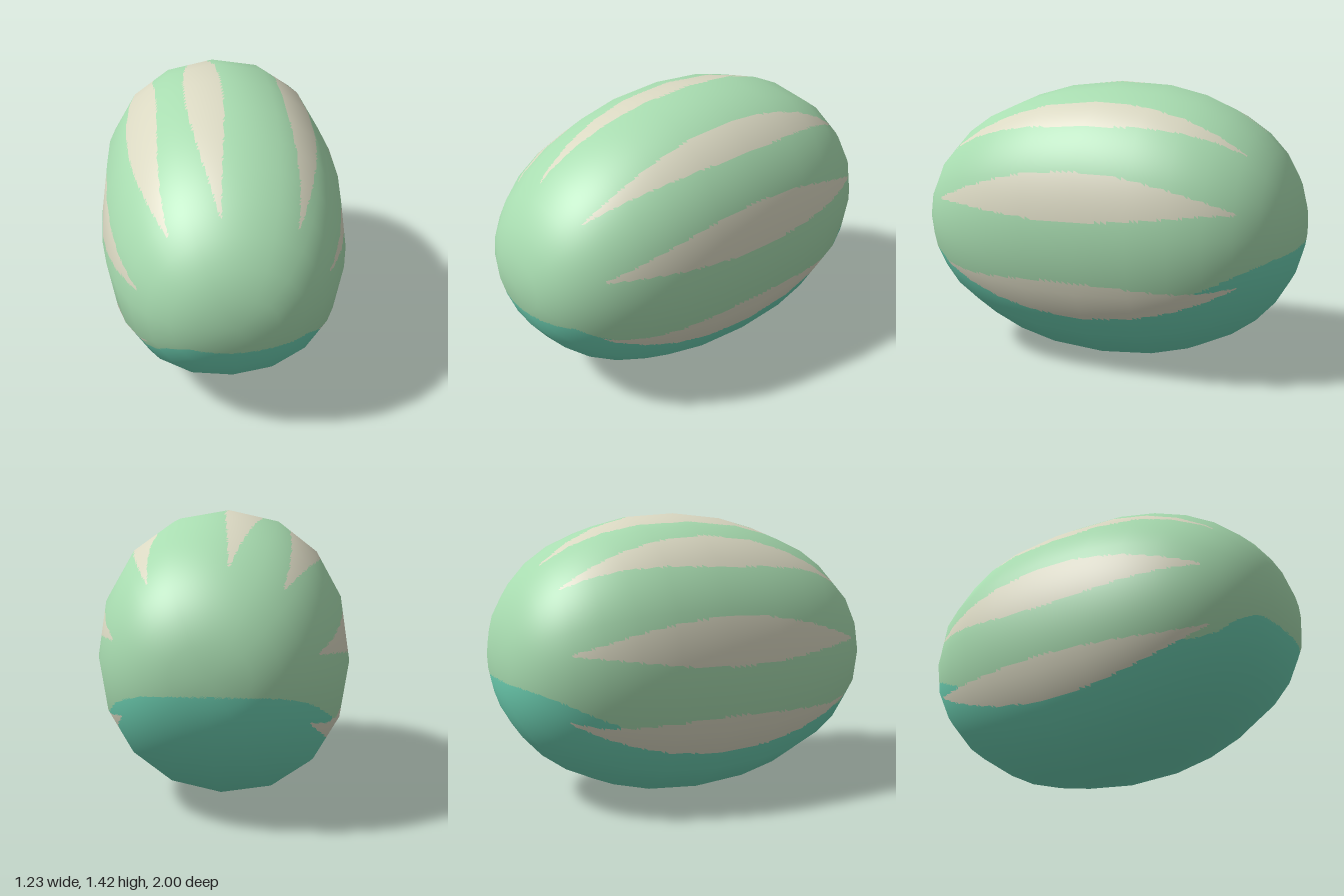
import * as THREE from 'three';

const SIDES = 16, RINGS = 16; // coarse facets that set the outline
const SUB_A = 18, SUB_B = 9; // fine faces per facet, so colour edges stay clean
const RX = 0.615, RY = 0.708, MID = 0.713;

const signedPow = (v, p) => Math.sign(v) * Math.abs(v) ** p;
const superRound = (z, n) => Math.max(0, 1 - Math.abs(z) ** n) ** (1 / n);

// Slightly boxy, slightly skewed egg lying along z
function surfacePoint(a, b) {
  const z = signedPow(Math.sin(b), 0.8);
  const x = RX * superRound(z, 2.6) * signedPow(Math.cos(a), 0.93);
  const y = RY * superRound(z, 2.1) * signedPow(Math.sin(a), 0.93);
  return new THREE.Vector3(x, MID + y + 0.028 * x - 0.015 * z, z - 0.05 * (1 - z * z));
}

function surfaceNormal(a, b, j) {
  if (j === 0 || j === RINGS) return new THREE.Vector3(0, 0, j ? 1 : -1);
  const e = 0.04;
  const da = surfacePoint(a + e, b).sub(surfacePoint(a - e, b));
  const db = surfacePoint(a, b + e).sub(surfacePoint(a, b - e));
  return da.cross(db).normalize();
}

// Lens-shaped stripes: centre angle and half width in degrees
const STRIPES = [[-27, 8.5], [14, 8.5], [52, 7.8], [97.5, 7.8], [129, 9], [169, 8.5], [206, 8.5]];
function onStripe(deg, z) {
  const t = Math.abs(z + 0.005) / 0.785;
  if (t >= 1) return false;
  const taper = 1 - t ** 1.9;
  return STRIPES.some(([centre, half]) => {
    const d = ((deg - centre + 540) % 360) - 180;
    return Math.abs(d) < half * taper + 0.5;
  });
}

// Height of the wavy belly edge along z
const EDGE = [[-1, 0.65], [-0.93, 0.635], [-0.82, 0.59], [-0.68, 0.52], [-0.5, 0.44], [0, 0.35],
  [0.5, 0.42], [0.7, 0.485], [0.8, 0.52], [0.88, 0.57], [0.94, 0.565], [1.01, 0.545]];
function bellyEdge(p) {
  let k = 1;
  while (k < EDGE.length - 1 && p.z > EDGE[k][0]) k++;
  const [z0, y0] = EDGE[k - 1], [z1, y1] = EDGE[k];
  const y = THREE.MathUtils.lerp(y0, y1, (p.z - z0) / (z1 - z0));
  const dip = THREE.MathUtils.smoothstep(-p.x, 0.2, 0.36) * THREE.MathUtils.smoothstep(p.z, 0.5, 0.75);
  return y - 0.06 * dip;
}

export function createModel() {
  // Coarse cage
  const points = [], normals = [];
  for (let i = 0; i <= SIDES; i++) {
    points.push([]);
    normals.push([]);
    for (let j = 0; j <= RINGS; j++) {
      const a = (i / SIDES) * Math.PI * 2, b = (j / RINGS - 0.5) * Math.PI;
      points[i].push(surfacePoint(a, b));
      normals[i].push(surfaceNormal(a, b, j));
    }
  }
  const blend = (grid, u, v) => {
    const i = Math.min(Math.floor(u), SIDES - 1), j = Math.min(Math.floor(v), RINGS - 1);
    const lower = grid[i][j].clone().lerp(grid[i + 1][j], u - i);
    const upper = grid[i][j + 1].clone().lerp(grid[i + 1][j + 1], u - i);
    return lower.lerp(upper, v - j);
  };

  // Fine grid lying on the cage facets
  const nu = SIDES * SUB_A, nv = RINGS * SUB_B;
  const verts = [], position = [], normal = [];
  for (let i = 0; i <= nu; i++) {
    for (let j = 0; j <= nv; j++) {
      const p = blend(points, i / SUB_A, j / SUB_B);
      verts.push(p);
      position.push(p.x, p.y, p.z);
      normal.push(...blend(normals, i / SUB_A, j / SUB_B).normalize().toArray());
    }
  }

  // Sort the faces by colour
  const faces = { skin: [], belly: [], stripes: [] };
  const addFace = (a, b, c, deg) => {
    const p = verts[a].clone().add(verts[b]).add(verts[c]).divideScalar(3);
    const part = onStripe(deg, p.z) ? 'stripes' : p.y < bellyEdge(p) ? 'belly' : 'skin';
    faces[part].push(a, b, c);
  };
  for (let i = 0; i < nu; i++) {
    for (let j = 0; j < nv; j++) {
      const a = i * (nv + 1) + j, b = a + nv + 1;
      const deg = (i / nu) * 360, step = 360 / nu;
      if (j < nv - 1) addFace(a, b + 1, a + 1, deg + step / 3);
      if (j > 0) addFace(a, b, b + 1, deg + (step * 2) / 3);
      if (j === nv - 1) addFace(a, b, a + 1, deg + step / 3);
    }
  }

  const colours = { skin: ['light green', 0xa8dcb0], belly: ['teal', 0x6fd3b5], stripes: ['pale cream', 0xdad8c2] };
  const positionAttribute = new THREE.Float32BufferAttribute(position, 3);
  const normalAttribute = new THREE.Float32BufferAttribute(normal, 3);
  const group = new THREE.Group();
  group.name = 'stripedEgg';
  for (const [part, [name, color]] of Object.entries(colours)) {
    const geometry = new THREE.BufferGeometry();
    geometry.setAttribute('position', positionAttribute);
    geometry.setAttribute('normal', normalAttribute);
    geometry.setIndex(faces[part]);
    const material = new THREE.MeshStandardMaterial({ color });
    material.name = name;
    const mesh = new THREE.Mesh(geometry, material);
    mesh.name = part;
    group.add(mesh);
  }
  return group;
}
